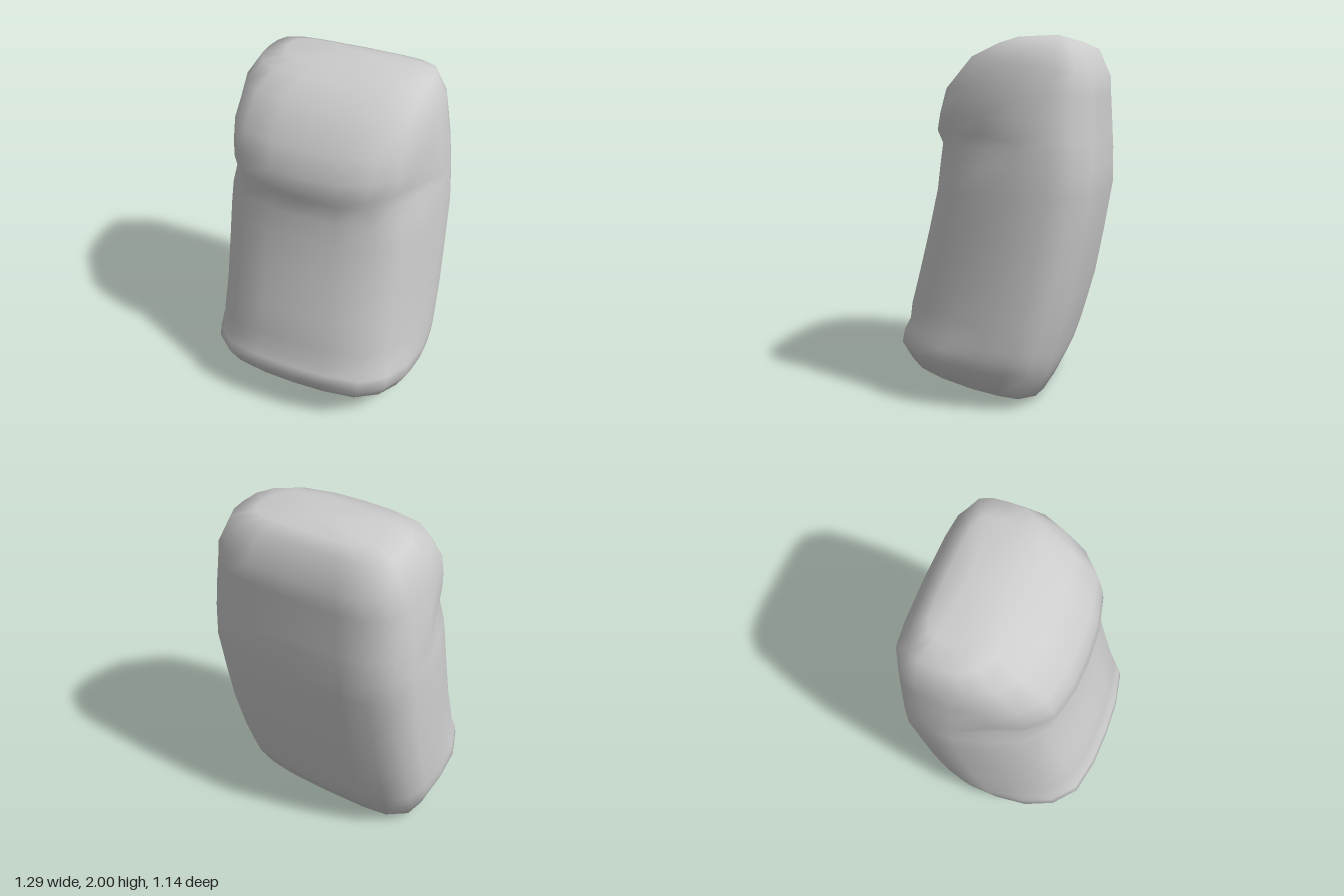
import * as THREE from 'three';

// Half outline of every ring: [share of half width, depth from back 0 to front 1]
const outline = [
  [0, 1], [0.33, 0.99], [0.65, 0.945], [0.85, 0.82], [0.955, 0.64], [1, 0.43],
  [0.985, 0.25], [0.93, 0.12], [0.73, 0.03], [0.48, 0.008], [0, 0],
];

// Rings from base to crown: [front z, front y, back z, back y, half width, corner, lift]
// corner narrows the front edge, lift raises the ring towards its front corners.
const rings = [
  [0.40, 0.16, -0.18, 0.002, 0.46, 1, 0],
  [0.52, 0.20, -0.27, 0.035, 0.58, 1, 0],
  [0.57, 0.30, -0.34, 0.17, 0.63, 1.02, 0],
  [0.557, 0.37, -0.365, 0.24, 0.64, 1, 0],
  [0.525, 0.41, -0.385, 0.30, 0.644, 0.98, 0],
  [0.515, 0.52, -0.42, 0.42, 0.645, 0.96, 0],
  [0.47, 0.70, -0.47, 0.60, 0.643, 0.95, 0],
  [0.41, 0.94, -0.52, 0.86, 0.637, 0.96, 0],
  [0.36, 1.16, -0.57, 1.15, 0.63, 0.97, 0],
  [0.345, 1.30, -0.57, 1.28, 0.62, 0.96, 0],
  [0.335, 1.40, -0.57, 1.36, 0.613, 0.92, 0.03],
  [0.368, 1.45, -0.567, 1.42, 0.608, 0.92, 0.08],
  [0.35, 1.55, -0.562, 1.52, 0.597, 0.95, 0.06],
  [0.31, 1.70, -0.555, 1.66, 0.573, 0.99, 0.02],
  [0.16, 1.88, -0.55, 1.77, 0.545, 1.02, 0],
  [0.01, 1.945, -0.48, 1.93, 0.48, 1.03, 0],
  [-0.08, 1.98, -0.40, 1.965, 0.36, 1, 0],
];

// Smooth skin lofted through the rings and closed at both ends
function loft(base, crown) {
  const half = outline.length;
  const loop = outline.map(([u, t]) => [u, t]);
  for (let i = half - 2; i > 0; i--) loop.push([-outline[i][0], outline[i][1]]);
  const n = loop.length;
  const pos = [];
  const index = [];
  for (const [zf, yf, zb, yb, w, corner, lift] of rings) {
    for (const [u, t] of loop) {
      const narrow = t > 0.6 ? corner : 1;
      const x = u * w * narrow;
      const rise = t > 0.5 ? lift * u * u * (t - 0.5) * 2 : 0;
      pos.push(x, yb + (yf - yb) * t + rise, zb + (zf - zb) * t);
    }
  }
  for (let r = 0; r < rings.length - 1; r++) {
    for (let j = 0; j < n; j++) {
      const k = (j + 1) % n;
      const a = r * n + j, b = r * n + k;
      index.push(a, b, b + n, a, b + n, a + n);
    }
  }
  const low = pos.length / 3;
  pos.push(...base, ...crown);
  const last = (rings.length - 1) * n;
  for (let j = 0; j < n; j++) {
    const k = (j + 1) % n;
    index.push(low, k, j, last + j, last + k, low + 1);
  }
  const geometry = new THREE.BufferGeometry();
  geometry.setAttribute('position', new THREE.Float32BufferAttribute(pos, 3));
  geometry.setIndex(index);
  geometry.computeVertexNormals();
  return geometry;
}

export function createModel() {
  const group = new THREE.Group();
  group.name = 'blockHead';
  const grey = new THREE.MeshStandardMaterial({ color: 0xcccccc });
  grey.name = 'plain grey';
  // Tall head with overhanging brow, hollow face and jutting chin
  const head = new THREE.Mesh(loft([0, 0.07, 0.13], [0, 2, -0.28]), grey);
  head.name = 'head';
  group.add(head);
  return group;
}
